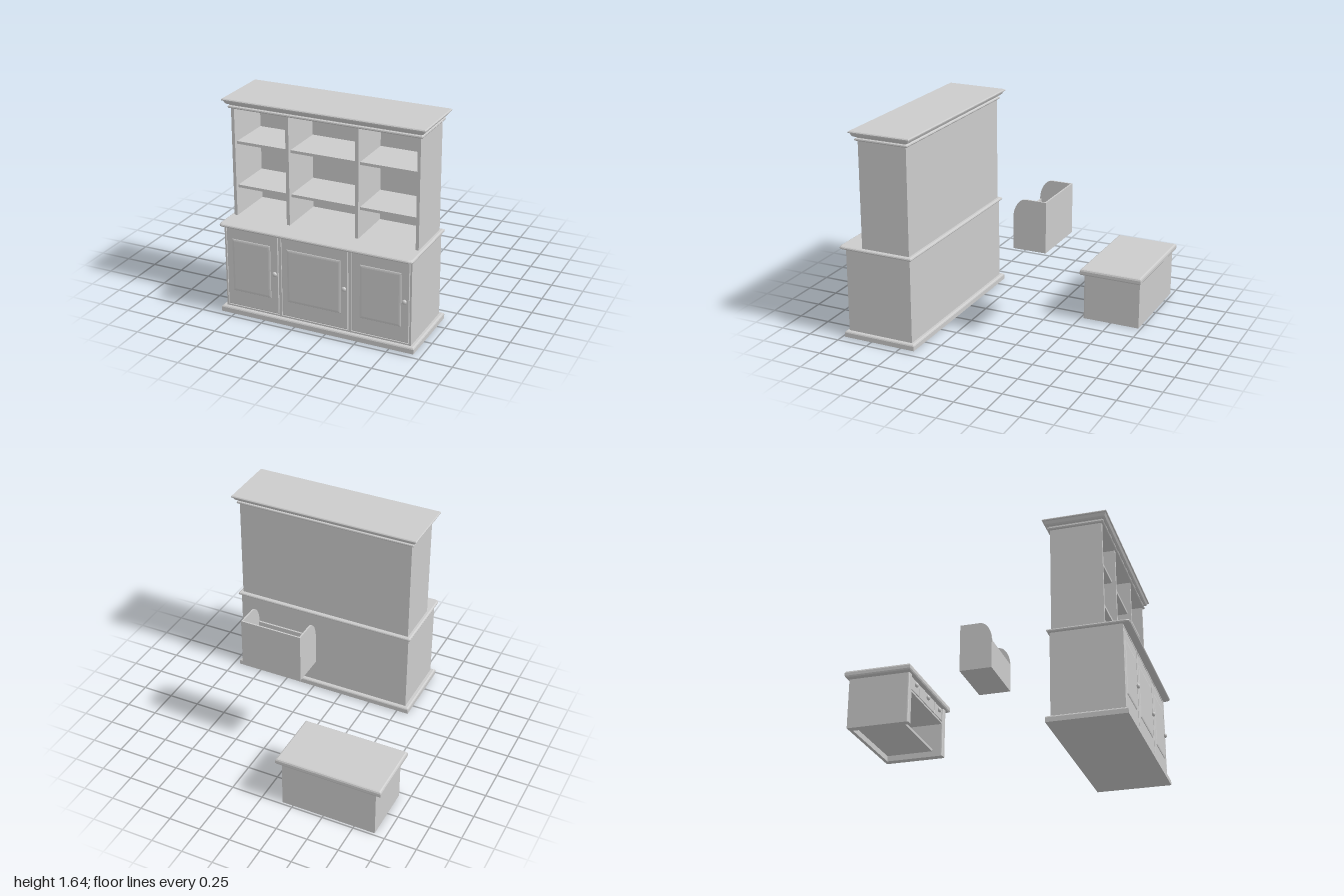
import * as THREE from 'three';

const mat = new THREE.MeshStandardMaterial({ color: 0xcccccc, side: THREE.DoubleSide });

function add(parent, geo, name) {
  const m = new THREE.Mesh(geo, mat);
  m.name = name;
  parent.add(m);
  return m;
}

// box given by its limits
function box(parent, name, x0, x1, y0, y1, z0, z1) {
  const m = add(parent, new THREE.BoxGeometry(x1 - x0, y1 - y0, z1 - z0), name);
  m.position.set((x0 + x1) / 2, (y0 + y1) / 2, (z0 + z1) / 2);
  return m;
}

// stacked rectangles: profile holds [outset, height]; c cuts the two front corners
function molding(x0, x1, z0, z1, profile, c = 0) {
  const ring = ([o, y]) => {
    const a = x0 - o, b = x1 + o, f = z1 + o, k = z0 - o;
    const pts = c ? [[a, k], [a, f - c], [a + c * 0.3, f - c * 0.3], [a + c, f], [b - c, f], [b - c * 0.3, f - c * 0.3], [b, f - c], [b, k]]
      : [[a, k], [a, f], [b, f], [b, k]];
    return pts.map(([x, z]) => [x, y, z]);
  };
  const rings = profile.map(ring), n = rings[0].length, pos = [];
  const tri = (a, b, d) => pos.push(...a, ...b, ...d);
  for (let i = 0; i + 1 < rings.length; i++)
    for (let j = 0; j < n; j++) {
      const k = (j + 1) % n, lo = rings[i], hi = rings[i + 1];
      tri(lo[j], lo[k], hi[k]);
      tri(lo[j], hi[k], hi[j]);
    }
  const bot = rings[0], top = rings[rings.length - 1];
  for (let j = 1; j + 1 < n; j++) {
    tri(bot[0], bot[j + 1], bot[j]);
    tri(top[0], top[j], top[j + 1]);
  }
  const g = new THREE.BufferGeometry();
  g.setAttribute('position', new THREE.Float32BufferAttribute(pos, 3));
  g.computeVertexNormals();
  return g;
}

// the same, facing +z, for raised panels and door fronts
function facing(x0, x1, y0, y1, profile) {
  return molding(x0, x1, -y1, -y0, profile).rotateX(Math.PI / 2);
}

function knob(parent, x, y, z, r) {
  const stem = add(parent, new THREE.CylinderGeometry(r * 0.5, r * 0.5, 0.012, 12).rotateX(Math.PI / 2), 'knobStem');
  stem.position.set(x, y, z + 0.004);
  const ball = add(parent, new THREE.SphereGeometry(r, 20, 12).scale(1, 1, 0.7), 'knob');
  ball.position.set(x, y, z + 0.011);
}

function buildHutch() {
  const g = new THREE.Group();
  g.name = 'hutch';

  // lower cabinet
  add(g, molding(-0.6, 0.945, 0.375, 0.97,
    [[0, 0.01], [0, 0.045], [-0.004, 0.053], [-0.012, 0.058]]), 'plinth');
  box(g, 'cabinetBody', -0.565, 0.915, 0.055, 0.715, 0.405, 0.936);
  add(g, molding(-0.585, 0.935, 0.385, 1.0,
    [[-0.012, 0.712], [-0.003, 0.717], [0, 0.725], [-0.003, 0.733], [-0.012, 0.738]], 0.025), 'counter');

  // face frame
  for (const [a, b] of [[-0.565, -0.552], [-0.123, -0.104], [0.433, 0.451], [0.902, 0.915]])
    box(g, 'frameStile', a, b, 0.058, 0.712, 0.93, 0.945);
  box(g, 'frameTopRail', -0.565, 0.915, 0.7, 0.712, 0.93, 0.944);
  box(g, 'frameBottomRail', -0.565, 0.915, 0.057, 0.07, 0.93, 0.944);

  // doors: [door left, door right, panel left, panel right, knob]
  const doors = [
    [-0.547, -0.13, -0.504, -0.19, -0.154],
    [-0.097, 0.426, -0.057, 0.37, 0.4],
    [0.458, 0.897, 0.519, 0.838, 0.864],
  ];
  for (const [a, b, c, d, k] of doors) {
    add(g, facing(a, b, 0.076, 0.695, [[0, 0.93], [0, 0.941], [-0.004, 0.945]]), 'door');
    add(g, facing(c, d, 0.193, 0.612, [[0, 0.944], [-0.003, 0.948], [-0.01, 0.95], [-0.018, 0.951]]), 'doorPanel');
    knob(g, k, 0.398, 0.945, 0.018);
  }

  // open shelving
  box(g, 'backPanel', -0.555, 0.905, 0.735, 1.58, 0.415, 0.43);
  for (const [a, b] of [[-0.555, -0.531], [-0.123, -0.098], [0.42, 0.444], [0.882, 0.905]])
    box(g, 'upright', a, b, 0.735, 1.58, 0.42, 0.81);
  for (const y of [0.949, 1.288])
    box(g, 'shelf', -0.54, 0.89, y, y + 0.021, 0.42, 0.78);

  // crown
  add(g, molding(-0.555, 0.905, 0.415, 0.81, [
    [0.005, 1.566], [0.013, 1.569], [0.018, 1.577], [0.016, 1.585], [0.006, 1.59], [0.006, 1.597],
    [0.02, 1.6], [0.03, 1.608], [0.04, 1.628], [0.049, 1.631], [0.05, 1.638], [0.044, 1.645],
  ]), 'cornice');
  return g;
}

function buildDesk() {
  const g = new THREE.Group();
  g.name = 'desk';
  add(g, molding(-0.958, -0.12, -1.0, -0.502, [
    [-0.014, 0.374], [-0.005, 0.378], [0, 0.388], [0, 0.41], [-0.005, 0.421], [-0.014, 0.426],
  ]), 'deskTop');
  box(g, 'deskBack', -0.9, -0.18, 0, 0.376, -0.98, -0.955);

  // sides with rounded front edges
  for (const s of [-1, 1]) {
    const side = new THREE.Shape();
    side.moveTo(0, 0.98);
    side.lineTo(0, 0.535);
    side.quadraticCurveTo(0, 0.52, 0.015, 0.52);
    side.lineTo(0.04, 0.52);
    side.quadraticCurveTo(0.055, 0.52, 0.055, 0.535);
    side.lineTo(0.055, 0.98);
    const geo = new THREE.ExtrudeGeometry(side, { depth: 0.376, bevelEnabled: false, curveSegments: 5 }).rotateX(-Math.PI / 2);
    const m = add(g, geo, 'deskSide');
    if (s < 0) m.position.x = -0.915;
    else m.position.x = -0.218;
  }

  // interior
  box(g, 'bottomShelf', -0.87, -0.21, 0.042, 0.06, -0.96, -0.6);
  box(g, 'middleShelf', -0.87, -0.21, 0.15, 0.163, -0.96, -0.72);
  box(g, 'drawerCase', -0.87, -0.21, 0.252, 0.376, -0.96, -0.54);
  box(g, 'drawerRail', -0.87, -0.21, 0.252, 0.267, -0.56, -0.53);

  // drawers
  for (const [a, b] of [[-0.853, -0.696], [-0.686, -0.387], [-0.377, -0.222]]) {
    add(g, facing(a, b, 0.272, 0.37, [[0, -0.55], [0, -0.533], [-0.004, -0.53]]), 'drawerFront');
    knob(g, (a + b) / 2, 0.332, -0.531, 0.019);
  }
  return g;
}

function buildBin() {
  const g = new THREE.Group();
  g.name = 'openBin';
  const x0 = -0.057, x1 = 0.432, t = 0.012;
  // curved cheeks, drawn in (-z, y)
  const cheek = new THREE.Shape();
  cheek.moveTo(0.197, 0.745);
  cheek.lineTo(0.197, 0.99);
  cheek.bezierCurveTo(0.2, 1.06, 0.24, 1.135, 0.295, 1.135);
  cheek.lineTo(0.457, 1.135);
  cheek.lineTo(0.457, 0.745);
  for (const x of [x0, x1 - t]) {
    const geo = new THREE.ExtrudeGeometry(cheek, { depth: t, bevelEnabled: false, curveSegments: 10 }).rotateY(Math.PI / 2);
    add(g, geo, 'cheek').position.x = x;
  }
  box(g, 'binBack', x0 + t, x1 - t, 0.745, 1.135, -0.457, -0.445);
  box(g, 'binBottom', x0 + t, x1 - t, 0.745, 0.757, -0.457, -0.197);
  box(g, 'binFront', x0 + t, x1 - t, 0.745, 0.98, -0.21, -0.197);
  return g;
}

export function createModel() {
  const group = new THREE.Group();
  group.name = 'furnitureSet';
  group.add(buildHutch(), buildDesk(), buildBin());
  return group;
}
